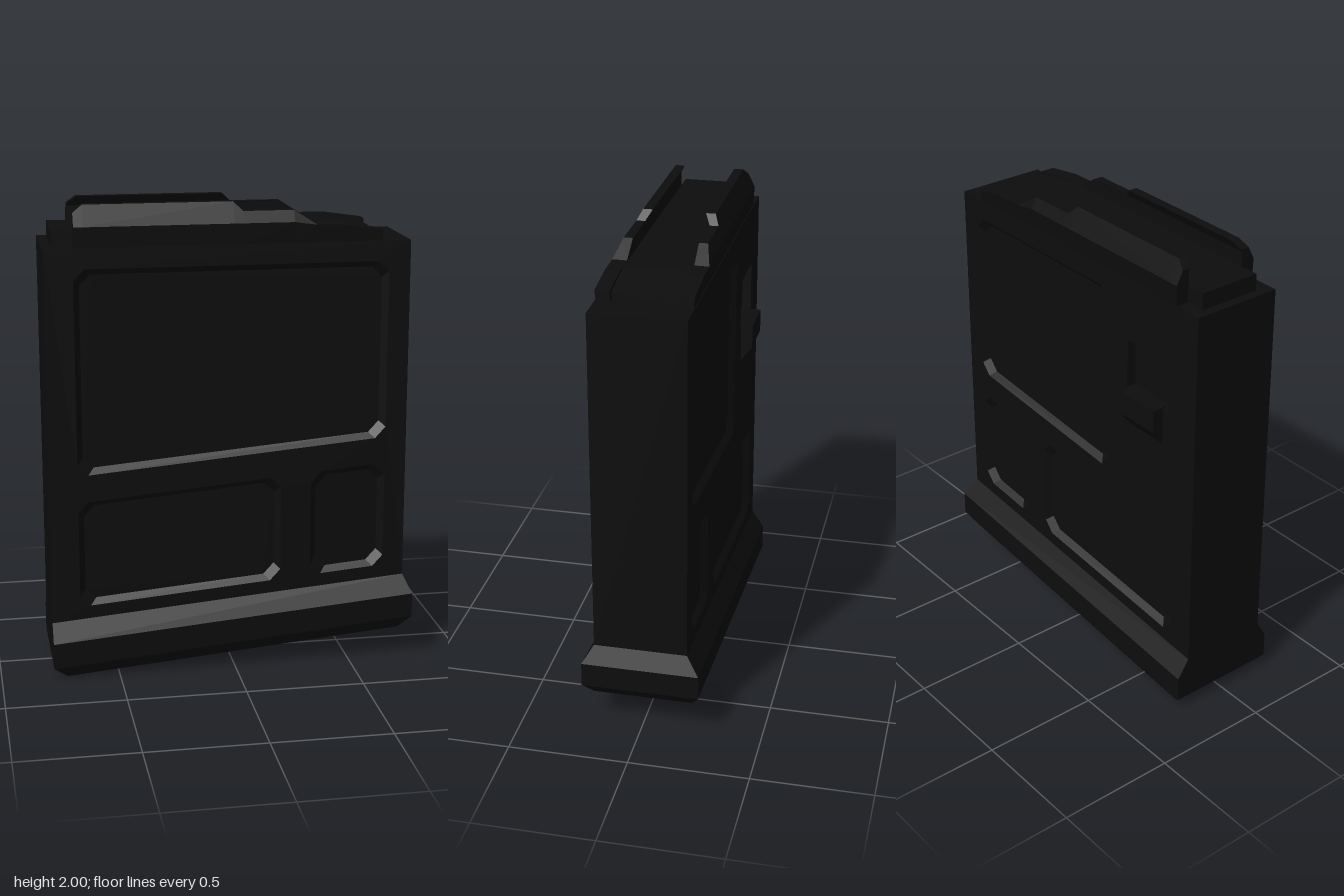
import * as THREE from 'three';

const SLOPE = 0.0855; // tilt of the base along x
const FRONT = 0.2, BACK = 0.19, TOP = 1.83, X0 = -0.78, X1 = 0.74;
const rise = (b, x) => b + SLOPE * x;

function fromTriangles(tris) {
  const g = new THREE.BufferGeometry();
  g.setAttribute('position', new THREE.Float32BufferAttribute(tris.flat(2), 3));
  g.computeVertexNormals();
  return g;
}

// Quads between two matching polylines
function strip(a, b, closed) {
  const tris = [];
  const n = closed ? a.length : a.length - 1;
  for (let i = 0; i < n; i++) {
    const j = (i + 1) % a.length;
    tris.push([a[i], a[j], b[j]], [a[i], b[j], b[i]]);
  }
  return tris;
}

// Closed solid through rings of points, capped by fans and turned outward
function loft(rings) {
  const tris = [];
  for (let k = 0; k + 1 < rings.length; k++) tris.push(...strip(rings[k], rings[k + 1], true));
  const first = rings[0], last = rings[rings.length - 1];
  for (let i = 1; i + 1 < first.length; i++) {
    tris.push([first[0], first[i + 1], first[i]], [last[0], last[i], last[i + 1]]);
  }
  const v = (p) => new THREE.Vector3(...p);
  const volume = tris.reduce((s, [a, b, c]) => s + v(a).dot(v(b).cross(v(c))), 0);
  return fromTriangles(volume < 0 ? tris.map(([a, b, c]) => [a, c, b]) : tris);
}

// Panel outline with cut corners, shrunk by an inset
function outline({ x0, x1, bottom, top, cut }, inset) {
  const l = x0 + inset, r = x1 - inset;
  const q = [[l, bottom(l) + inset], [r, bottom(r) + inset], [r, top(r) - inset], [l, top(l) - inset]];
  if (!cut) return q;
  const toward = (p, o) => {
    const t = cut / Math.hypot(o[0] - p[0], o[1] - p[1]);
    return [p[0] + (o[0] - p[0]) * t, p[1] + (o[1] - p[1]) * t];
  };
  return q.flatMap((p, i) => [toward(p, q[(i + 3) % 4]), toward(p, q[(i + 1) % 4])]);
}

export function createModel() {
  const model = new THREE.Group();
  model.name = 'boxMagazine';
  const black = new THREE.MeshStandardMaterial({ color: 0x0d0d0d });
  black.name = 'matte black';
  const add = (name, geometry, parent = model) => {
    const mesh = new THREE.Mesh(geometry, black);
    mesh.name = name;
    parent.add(mesh);
    return mesh;
  };

  // Large side wall with pressed-in panels; side is 1 for front, -1 for back
  function sideWall(name, side, z, panels) {
    const wall = new THREE.Group();
    wall.name = name;
    const flip = (pts) => pts.map(([x, y]) => [x * side, y]);
    const shapeOf = (pts) => new THREE.Shape(pts.map(([x, y]) => new THREE.Vector2(x, y)));
    const face = shapeOf(flip([[X0, rise(0.307, X0)], [X1, rise(0.307, X1)], [X1, TOP], [X0, TOP]]));
    for (const p of panels) {
      const outer = flip(outline(p, 0)), inner = flip(outline(p, p.bevel));
      face.holes.push(shapeOf(outer));
      const floor = new THREE.ShapeGeometry(shapeOf(inner));
      floor.translate(0, 0, z - p.depth);
      add('panelFloor', floor, wall);
      let a = outer.map(([x, y]) => [x, y, z]);
      let b = inner.map(([x, y]) => [x, y, z - p.depth]);
      if (side < 0) { a = a.reverse(); b = b.reverse(); }
      add('panelBevel', fromTriangles(strip(a, b, true)), wall);
    }
    const plate = new THREE.ShapeGeometry(face);
    plate.translate(0, 0, z);
    add('wallFace', plate, wall);
    if (side < 0) wall.rotation.y = Math.PI;
    model.add(wall);
  }

  const panel = (x0, x1, bottom, top) => ({ x0, x1, bottom, top, cut: 0.045, bevel: 0.025, depth: 0.025 });
  const low = (x) => rise(0.362, x), mid = (x) => rise(0.82, x), high = (x) => rise(0.935, x);
  const flat = (y) => () => y;
  const lower = [panel(-0.66, 0.2, low, mid), panel(0.33, 0.65, low, mid)];
  const pocket = { x0: -0.62, x1: -0.37, bottom: flat(1.36), top: flat(1.57), cut: 0, bevel: 0, depth: 0.04 };
  sideWall('frontWall', 1, FRONT, [panel(-0.66, 0.65, high, flat(1.745)), ...lower]);
  sideWall('backWall', -1, BACK, [panel(-0.25, 0.65, high, flat(1.745)), ...lower, pocket]);

  // Narrow end walls and top deck
  const rim = [[X0, rise(0.307, X0)], [X0, TOP], [X1, TOP], [X1, rise(0.307, X1)]];
  add('endWallsAndDeck', fromTriangles(strip(
    rim.map(([x, y]) => [x, y, -BACK]), rim.map(([x, y]) => [x, y, FRONT]), false
  ).map(([a, b, c]) => [a, c, b])));

  // Flared, sloping base plate
  const ring = (x0, x1, zb, zf, y0, y1) => [[x0, y0, zf], [x1, y1, zf], [x1, y1, zb], [x0, y0, zb]];
  add('basePlate', loft([
    ring(-0.72, 0.72, -0.205, 0.21, 0, 0.13),
    ring(-0.78, 0.775, -0.243, 0.247, 0.05, 0.19),
    ring(-0.78, 0.775, -0.243, 0.247, 0.16, 0.293),
    ring(X0, X1, -BACK, FRONT, 0.24, 0.37),
  ]));

  // Follower between the lips, dipping at the +x end
  const section = (x, y) => [[x, TOP, -0.135], [x, TOP, 0.135], [x, y, 0.135], [x, y, -0.135]];
  add('follower', loft([section(-0.74, 1.9), section(0.4, 1.9), section(0.6, 1.87)]));

  // Feed lips: cross-section leaning inward, cut to a changing height
  const heights = [[-0.655, 1.97], [-0.615, 2], [0, 2], [0.04, 1.962], [0.25, 1.962],
    [0.345, 1.902], [0.46, 1.9], [0.62, 1.877]];
  const lean = (y, start, from, to) => from + (to - from) * Math.max(0, (y - start) / (2 - start));
  for (const side of [1, -1]) {
    const rings = heights.map(([x, h]) => {
      const a = Math.min(h, 1.96), b = Math.min(h, 1.915);
      return [[0.134, a], [0.134, TOP], [0.19, TOP], [0.194, b],
        [lean(h, 1.915, 0.194, 0.15), h], [lean(h, 1.96, 0.134, 0.11), h]]
        .map(([z, y]) => [x, y, 0.003 + z * side]);
    });
    add(side > 0 ? 'frontLip' : 'backLip', loft(rings));
  }

  // Catch below the pocket on the back
  const wedge = [[1.365, -0.17], [1.365, -0.24], [1.265, -0.24], [1.2, -BACK], [1.2, -0.17]];
  add('catch', loft([-0.59, -0.385].map((x) => wedge.map(([y, z]) => [x, y, z]))));

  return model;
}
